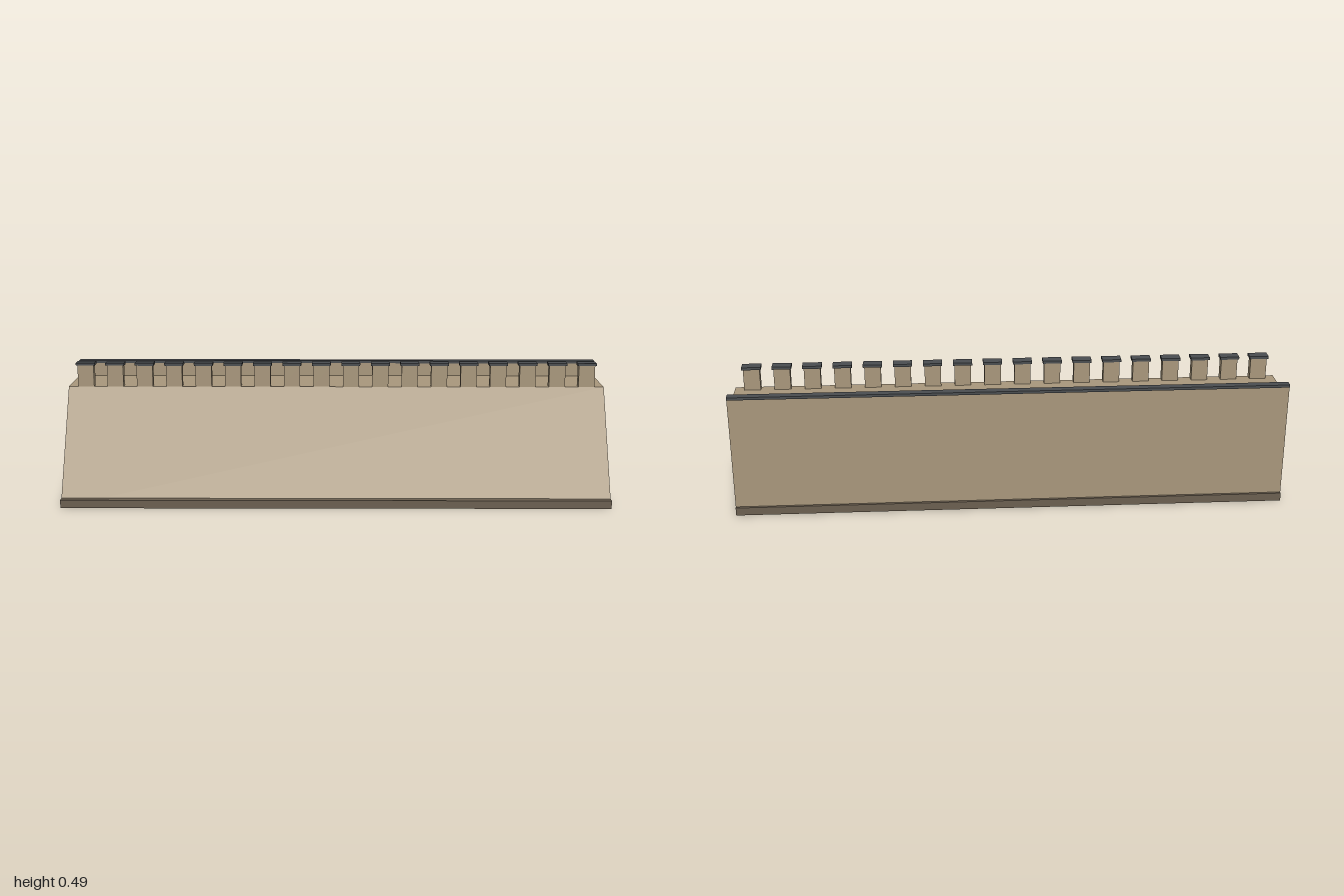
import * as THREE from 'three';

const stone = new THREE.MeshStandardMaterial({ color: 0xa8977c });
const shell = new THREE.MeshStandardMaterial({ color: 0xa8977c, side: THREE.DoubleSide });
const footing = new THREE.MeshStandardMaterial({ color: 0x6b5f50, side: THREE.DoubleSide });
const slate = new THREE.MeshStandardMaterial({ color: 0x4a4d50 });

// Removes the triangles lying on the ground, leaving an open underside
function openBottom(geometry) {
  const g = geometry.index ? geometry.toNonIndexed() : geometry;
  const p = g.attributes.position;
  const kept = [];
  for (let i = 0; i < p.count; i += 3) {
    if ([0, 1, 2].some((k) => p.getY(i + k) > 1e-4)) kept.push(i, i + 1, i + 2);
  }
  g.setIndex(kept);
  return g;
}

// Box given by its centre in x, its width and its y and z ranges
function block(name, material, x, width, y0, y1, z0, z1) {
  const g = new THREE.BoxGeometry(width, y1 - y0, z1 - z0);
  g.translate(x, (y0 + y1) / 2, (z0 + z1) / 2);
  const mesh = new THREE.Mesh(g, material);
  mesh.name = name;
  return mesh;
}

export function createModel() {
  const model = new THREE.Group();
  model.name = 'rampartWall';

  // Wall body: sloping front, walkway and rear parapet in one profile (z, y)
  const profile = new THREE.Shape(
    [[0.24, 0], [0, 0.4], [-0.22, 0.4], [-0.22, 0.45], [-0.24, 0.45], [-0.24, 0]]
      .map(([z, y]) => new THREE.Vector2(z, y))
  );
  const bodyGeometry = new THREE.ExtrudeGeometry(profile, { depth: 2, bevelEnabled: false });
  bodyGeometry.rotateY(-Math.PI / 2).translate(1, 0, 0);
  const body = new THREE.Mesh(openBottom(bodyGeometry), shell);
  body.name = 'wallBody';
  model.add(body);

  // Plinth around the foot, open underneath
  const plinth = block('plinth', footing, 0, 1.999, 0, 0.03, -0.25, 0.25);
  plinth.geometry = openBottom(plinth.geometry);
  model.add(plinth);

  // Coping along the rear parapet
  model.add(block('parapetCap', slate, 0, 2, 0.45, 0.46, -0.245, -0.215));

  // Row of capped merlons along the front edge of the walkway
  const count = 18;
  for (let i = 0; i < count; i++) {
    const x = (i - (count - 1) / 2) * 0.11;
    const merlon = new THREE.Group();
    merlon.name = 'merlon' + (i + 1);
    merlon.add(
      block('merlonBlock', stone, x, 0.06, 0.4, 0.48, -0.03, 0),
      block('merlonCap', slate, x, 0.07, 0.48, 0.49, -0.035, 0.005)
    );
    model.add(merlon);
  }
  return model;
}
